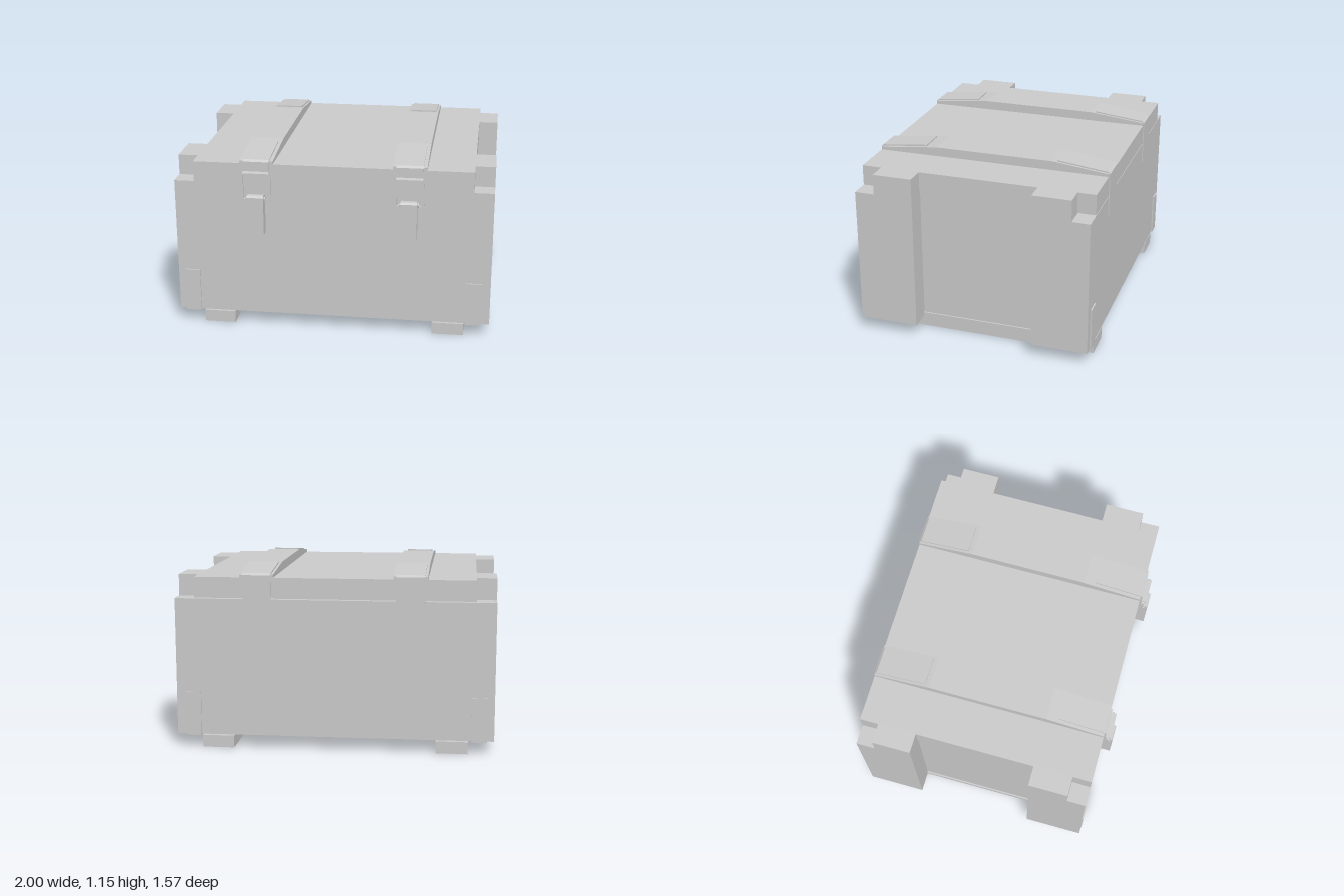
import * as THREE from 'three';

const material = new THREE.MeshStandardMaterial({ color: 0xcccccc, flatShading: true });

export function createModel() {
  const group = new THREE.Group();
  group.name = 'woodenCrate';

  const add = (name, geometry, parent = group) => {
    const mesh = new THREE.Mesh(geometry, material);
    mesh.name = name;
    parent.add(mesh);
    return mesh;
  };

  // Box given by its limits on each axis
  const block = (name, x0, x1, y0, y1, z0, z1, parent) => {
    const mesh = add(name, new THREE.BoxGeometry(x1 - x0, y1 - y0, z1 - z0), parent);
    mesh.position.set((x0 + x1) / 2, (y0 + y1) / 2, (z0 + z1) / 2);
    return mesh;
  };

  // Side outline of [z, y] points, extruded along x and centred on x = 0
  const profile = (name, points, width, parent) => {
    const shape = new THREE.Shape(points.map(([z, y]) => new THREE.Vector2(-z, y)));
    const geometry = new THREE.ExtrudeGeometry(shape, { depth: width, bevelEnabled: false });
    geometry.translate(0, 0, -width / 2).rotateY(Math.PI / 2);
    return add(name, geometry, parent);
  };

  // Thin metal band: an outline that follows a path and returns offset inward
  const band = (name, outer, inner, width, parent) =>
    profile(name, [...outer, ...inner.slice().reverse()], width, parent);

  const FRONT = 0.725, BACK = -0.775, BOTTOM = 0.085, SEAM = 0.96, TOP = 1.09;

  // Crate body
  block('body', -0.865, 0.865, BOTTOM + 0.03, SEAM, -0.655, 0.6);
  block('floor', -0.875, 0.875, BOTTOM, BOTTOM + 0.03, -0.655, 0.6);
  block('frontPanel', -1, 1, BOTTOM, SEAM, 0.6, FRONT);
  block('backPanel', -1, 1, BOTTOM, SEAM - 0.006, BACK, -0.655);

  // Lid, with a narrow seam along the back
  block('lid', -0.875, 0.875, SEAM, TOP, BACK, FRONT);

  for (const side of [-1, 1]) {
    const x0 = side > 0 ? 0.865 : -1;
    const x1 = x0 + 0.135;
    // Upright posts on the crate ends
    block('frontPost', x0, x1, BOTTOM, TOP, 0.35, 0.6);
    block('backPost', x0, x1, BOTTOM, TOP, -0.655, -0.41);

    // Skid under the crate
    const skidX = side * 0.738;
    block('skid', skidX - 0.1, skidX + 0.1, 0, 0.077, BACK, FRONT);

    // L-shaped corner brackets wrapping under the crate
    const bx = side > 0 ? 0.893 : -0.907;
    const bracket = (z, end, out) => band('cornerBracket',
      [[z, 0.36], [z + out, 0.36], [z + out, 0.078], [end, 0.078]],
      [[z, 0.36], [z, BOTTOM], [end, BOTTOM]].slice(1), 0.096).position.x = bx;
    bracket(FRONT, 0.555, 0.009);
    bracket(BACK, -0.605, -0.009);

    // Batten, hinge and latch share one group per side
    const fitting = new THREE.Group();
    fitting.name = side > 0 ? 'leftLidFitting' : 'rightLidFitting';
    fitting.position.x = side > 0 ? 0.482 : -0.474;
    group.add(fitting);

    // Batten with sloping ends
    profile('lidBatten', [[FRONT, TOP], [FRONT, 1.108], [0.35, 1.148],
      [-0.41, 1.148], [BACK, 1.108], [BACK, TOP]], 0.21, fitting);

    // Hinge strap running over the batten and down the back
    band('hingeStrap',
      [[-0.44, 1.153], [-0.765, 1.117], [-0.781, 1.105], [-0.781, 0.82]],
      [[-0.44, 1.144], [-0.765, 1.108], [-0.774, 1.1], [-0.774, 0.82]], 0.178, fitting);

    // Latch strap over the front, its end curled outward to hold the loop
    band('latchStrap',
      [[0.42, 1.149], [0.722, 1.117], [0.736, 1.105], [0.736, 1.043], [0.768, 1.039]],
      [[0.42, 1.141], [0.718, 1.108], [0.726, 1.1], [0.726, 1.03], [0.768, 1.03]], 0.165, fitting);

    // Wire loop
    const loopShape = (w, h, r) => {
      const s = new THREE.Shape();
      s.moveTo(-w + r, -h).lineTo(w - r, -h).quadraticCurveTo(w, -h, w, -h + r);
      s.lineTo(w, h - r).quadraticCurveTo(w, h, w - r, h);
      s.lineTo(-w + r, h).quadraticCurveTo(-w, h, -w, h - r);
      s.lineTo(-w, -h + r).quadraticCurveTo(-w, -h, -w + r, -h);
      return s;
    };
    const loop = loopShape(0.092, 0.092, 0.018);
    loop.holes.push(loopShape(0.08, 0.08, 0.01));
    const wire = add('wireLoop', new THREE.ExtrudeGeometry(loop,
      { depth: 0.012, bevelEnabled: false, curveSegments: 4 }), fitting);
    wire.position.set(0, 0.946, 0.742);

    // Lever with rounded top and the hook that catches the loop
    profile('latchLever', [[FRONT, 0.642], [0.785, 0.642], [0.785, 0.885], [0.777, 0.895],
      [0.76, 0.898], [0.738, 0.895], [FRONT, 0.885]], 0.102, fitting);
    const hook = add('latchHook', new THREE.CylinderGeometry(0.012, 0.012, 0.12, 8), fitting);
    hook.rotation.z = Math.PI / 2;
    hook.position.set(0, 0.875, 0.757);
  }
  return group;
}
